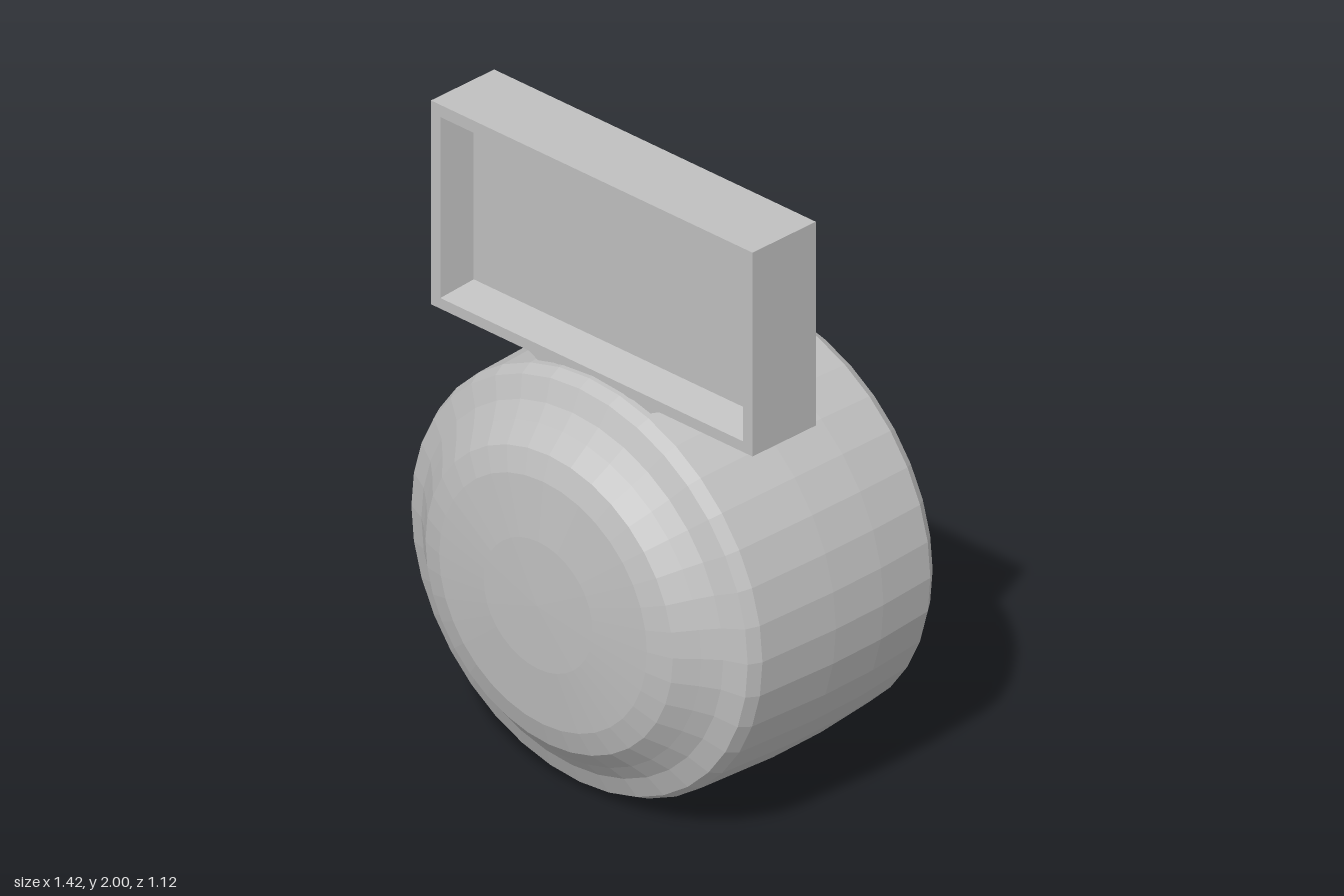
import * as THREE from 'three';

// Rectangular loop of corners, counter-clockwise seen from +z
const rect = (x0, x1, y0, y1, z) => [[x0, y0, z], [x1, y0, z], [x1, y1, z], [x0, y1, z]];

// Skins a stack of rectangular loops and caps both ends
function loftRects(loops) {
  const pos = [];
  const quad = (a, b, c, d) => pos.push(...a, ...b, ...c, ...a, ...c, ...d);
  for (let i = 0; i < loops.length - 1; i++) {
    for (let k = 0; k < 4; k++) {
      const n = (k + 1) % 4;
      quad(loops[i][k], loops[i][n], loops[i + 1][n], loops[i + 1][k]);
    }
  }
  const [a, b, c, d] = loops[0];
  quad(d, c, b, a);
  quad(...loops[loops.length - 1]);
  const g = new THREE.BufferGeometry();
  g.setAttribute('position', new THREE.Float32BufferAttribute(pos, 3));
  g.computeVertexNormals();
  return g;
}

export function createModel() {
  const group = new THREE.Group();
  const grey = new THREE.MeshStandardMaterial({ color: 0xc0c0c0, flatShading: true });
  grey.name = 'plain grey';
  const add = (name, geometry) => {
    const mesh = new THREE.Mesh(geometry, grey);
    mesh.name = name;
    group.add(mesh);
    return mesh;
  };

  // Drum lying along z, with a domed cap at each end: [radius, z]
  const profile = [
    [0, -0.56], [0.15, -0.56], [0.33, -0.54], [0.43, -0.51], [0.51, -0.46],
    [0.59, -0.425], [0.66, -0.4], [0.69, -0.36], [0.708, -0.15], [0.712, 0.05],
    [0.7, 0.34], [0.68, 0.38], [0.61, 0.41], [0.56, 0.45], [0.5, 0.505],
    [0.42, 0.53], [0.22, 0.55], [0, 0.555],
  ].map(([r, z]) => new THREE.Vector2(r, z));
  const drum = new THREE.LatheGeometry(profile, 36);
  drum.rotateX(Math.PI / 2);
  drum.scale(1, 0.95, 1);
  drum.translate(0, 0.68, 0);
  add('drum', drum);

  // Sign box with a shallow sloped recess in its front
  add('signBox', loftRects([
    rect(-0.655, 0.645, 1.33, 2, 0.065),
    rect(-0.655, 0.645, 1.33, 2, 0.325),
    rect(-0.617, 0.607, 1.365, 1.96, 0.325),
    rect(-0.595, 0.59, 1.39, 1.935, 0.21),
  ]));

  // Flared neck joining the box to the drum
  const flare = new THREE.Shape([
    [-0.28, 1.335], [-0.22, 1.305], [-0.27, 1.27], [0.27, 1.27], [0.22, 1.305], [0.28, 1.335],
  ].map(([x, y]) => new THREE.Vector2(x, y)));
  const neck = new THREE.ExtrudeGeometry(flare, { depth: 0.25, bevelEnabled: false });
  neck.translate(0, 0, 0.07);
  add('neck', neck);

  return group;
}
